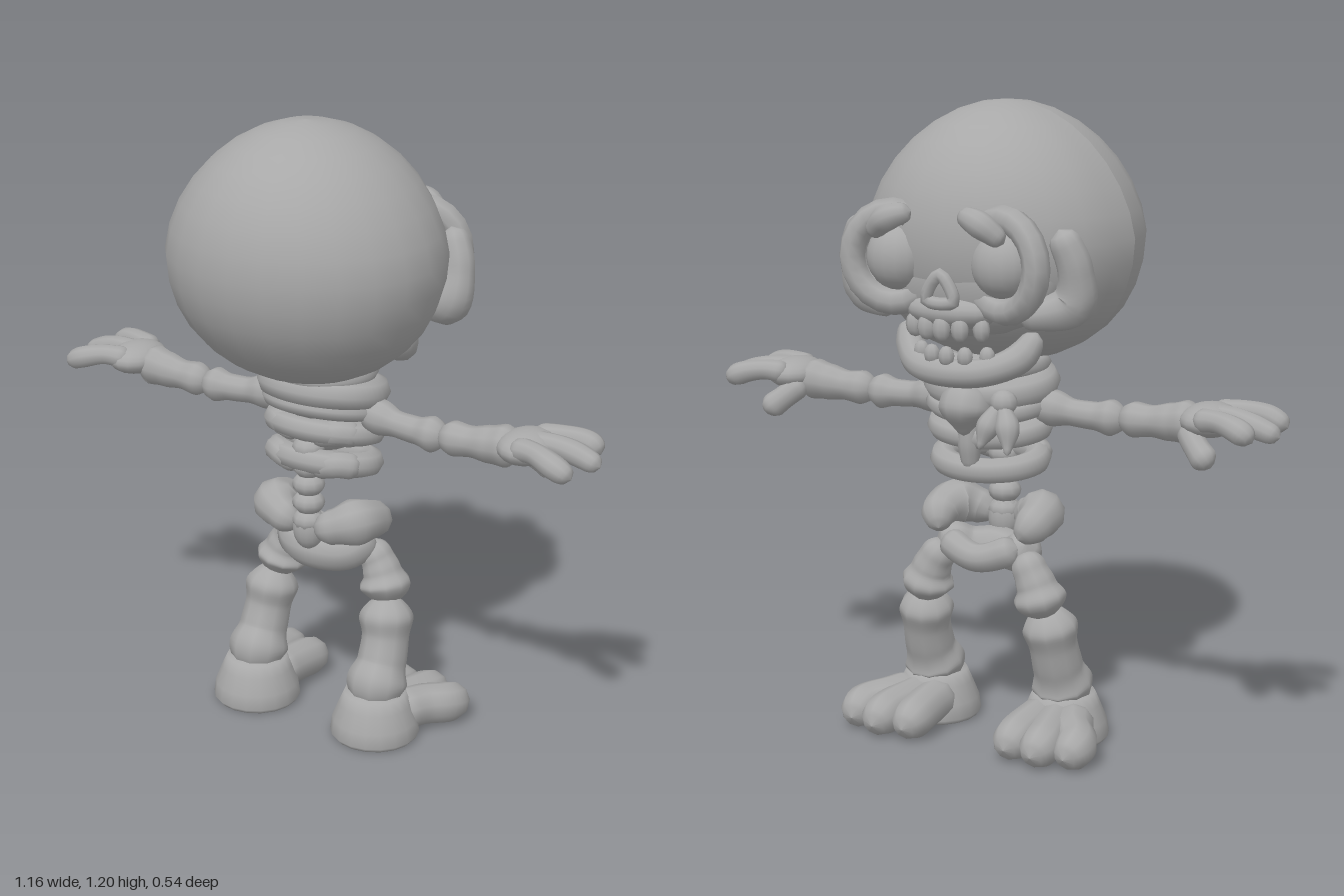
import * as THREE from 'three';
import { mergeVertices } from 'three/addons/utils/BufferGeometryUtils.js';

const bone = new THREE.MeshStandardMaterial({ color: 0xa8a8a8 });
bone.name = 'bone grey';

export function createModel() {
  const root = new THREE.Group();
  root.name = 'skeleton';

  const add = (name, geo) => {
    const m = new THREE.Mesh(geo, bone);
    m.name = name;
    root.add(m);
    return m;
  };
  const ball = (name, p, r, w = 16, h = 12) => {
    const m = add(name, new THREE.SphereGeometry(1, w, h));
    m.position.set(...p);
    m.scale.set(...r);
    return m;
  };
  // Swept bone: points are [x, y, z, radius]; rounded by tapering its ends
  const limb = (name, pts, { closed = false, sides = 10, flat = 1, floor = false } = {}) => {
    const all = pts.map(p => new THREE.Vector3(p[0], p[1], p[2]));
    const curve = new THREE.CatmullRomCurve3(all, closed);
    const seg = pts.length * 6, n = pts.length;
    const geo = new THREE.TubeGeometry(curve, seg, 1, sides, closed);
    const pos = geo.attributes.position, v = new THREE.Vector3();
    const len = curve.getLength();
    for (let i = 0; i <= seg; i++) {
      const u = i / seg, c = curve.getPointAt(u);
      const f = curve.getUtoTmapping(u) * (closed ? n : n - 1);
      const k = Math.min(Math.floor(f), closed ? n - 1 : n - 2), t = f - k;
      const s = t * t * (3 - 2 * t);
      let r = pts[k][3] * (1 - s) + pts[(k + 1) % n][3] * s;
      if (!closed) {
        const e = Math.min(1, Math.min(u, 1 - u) * len / r);
        r *= Math.sqrt(1 - (1 - e) * (1 - e));
      }
      for (let j = 0; j <= sides; j++) {
        const id = i * (sides + 1) + j;
        v.fromBufferAttribute(pos, id).sub(c).multiplyScalar(Math.max(r, 1e-4));
        v.y *= flat;
        v.add(c);
        if (floor) v.y = Math.max(v.y, 0.004);
        pos.setXYZ(id, v.x, v.y, v.z);
      }
    }
    geo.deleteAttribute('uv');
    geo.deleteAttribute('normal');
    const out = mergeVertices(geo, 1e-5);
    out.computeVertexNormals();
    return add(name, out);
  };
  const ring = (name, y, z, rx, rz, r, flat = 1, tilt = 0) => {
    const pts = [];
    for (let i = 0; i < 10; i++) {
      const a = -i / 10 * Math.PI * 2;
      pts.push([Math.cos(a) * rx, y + tilt * Math.sin(a), z + Math.sin(a) * rz, r]);
    }
    return limb(name, pts, { closed: true, flat, sides: 8 });
  };
  const both = fn => [1, -1].forEach(s => fn(s, s > 0 ? 'left' : 'right'));

  // Cranium, narrowing a little towards the crown
  const skull = new THREE.SphereGeometry(1, 24, 16);
  const sp = skull.attributes.position;
  for (let i = 0; i < sp.count; i++) {
    const y = sp.getY(i), k = 1 - 0.12 * Math.max(0, y);
    sp.setX(i, sp.getX(i) * k * (y < 0 ? 1 + 0.08 * y * y : 1));
  }
  skull.computeVertexNormals();
  const cranium = add('cranium', skull);
  cranium.position.set(0, 0.965, 0.752);
  cranium.scale.set(0.264, 0.242, 0.248);

  // Face
  ball('faceMass', [0, 0.9, 0.6], [0.19, 0.11, 0.085]);
  ball('upperJaw', [0, 0.845, 0.555], [0.095, 0.035, 0.055]);
  limb('noseRim', [[0, 0.915, 0.505, 0.012], [0.028, 0.868, 0.505, 0.012], [-0.028, 0.868, 0.505, 0.012]],
    { closed: true, sides: 8 });
  both((s, side) => {
    const rim = add(side + 'EyeRim', new THREE.TorusGeometry(0.078, 0.024, 8, 20));
    rim.position.set(s * 0.113, 0.935, 0.535);
    rim.rotation.y = s * 0.28;
    rim.scale.set(1, 1.05, 1.1);
    ball(side + 'Eye', [s * 0.108, 0.935, 0.54], [0.059, 0.06, 0.05]);
    limb(side + 'Brow', [[s * 0.05, 1.026, 0.492, 0.018], [s * 0.095, 1.012, 0.481, 0.024],
      [s * 0.135, 0.98, 0.495, 0.017]]);
    limb(side + 'Cheekbone', [[s * 0.2, 1.0, 0.575, 0.028], [s * 0.225, 0.93, 0.59, 0.032],
      [s * 0.215, 0.865, 0.6, 0.04], [s * 0.13, 0.838, 0.555, 0.025]]);
  });
  for (let i = -2; i <= 2; i++) {
    const tooth = ball('upperTooth', [i * 0.034, 0.817, 0.51 + i * i * 0.006], [0.018, 0.024, 0.014], 8, 6);
    tooth.rotation.y = i * 0.2;
  }

  // Hanging lower jaw
  limb('lowerJaw', [[0.135, 0.805, 0.62, 0.02], [0.115, 0.762, 0.597, 0.028], [0.07, 0.738, 0.553, 0.026],
    [0, 0.732, 0.537, 0.026], [-0.07, 0.738, 0.553, 0.026], [-0.115, 0.762, 0.597, 0.028],
    [-0.135, 0.805, 0.62, 0.02]]);
  for (let i = -2; i <= 2; i++)
    ball('lowerTooth', [i * 0.034, 0.764, 0.527 + i * i * 0.007], [0.016, 0.019, 0.013], 8, 6);

  // Neck and neckerchief
  limb('neck', [[0, 0.62, 0.715, 0.06], [0, 0.7, 0.715, 0.085], [0, 0.78, 0.72, 0.09]]);
  ring('upperScarfFold', 0.727, 0.7, 0.085, 0.075, 0.026, 0.8);
  ring('middleScarfFold', 0.69, 0.695, 0.102, 0.08, 0.031, 0.95, 0.012);
  ring('lowerScarfFold', 0.657, 0.69, 0.1, 0.08, 0.026, 0.8, 0.014);
  limb('scarfBib', [[0, 0.695, 0.615, 0.06], [0, 0.655, 0.595, 0.05], [0, 0.605, 0.588, 0.012]]);
  ball('scarfKnot', [-0.075, 0.672, 0.604], [0.026, 0.024, 0.024], 10, 8);
  limb('scarfTailOuter', [[-0.075, 0.67, 0.6, 0.012], [-0.095, 0.63, 0.582, 0.023], [-0.105, 0.585, 0.562, 0.006]]);
  limb('scarfTailInner', [[-0.07, 0.67, 0.6, 0.012], [-0.055, 0.63, 0.582, 0.022], [-0.045, 0.59, 0.565, 0.006]]);

  // Rib cage and spine
  ring('upperRib', 0.61, 0.69, 0.1, 0.073, 0.025, 0.95, 0.012);
  ring('lowerRib', 0.546, 0.69, 0.094, 0.069, 0.026, 0.95, 0.012);
  ball('chestCore', [0, 0.612, 0.695], [0.08, 0.05, 0.06]);
  limb('breastbone', [[0, 0.65, 0.61, 0.02], [0, 0.59, 0.61, 0.022], [0, 0.535, 0.615, 0.016]]);
  for (let i = 0; i < 6; i++)
    ball('vertebra', [0, 0.43 + i * 0.037, 0.746], [0.032, 0.024, 0.031], 10, 8);
  both((s, side) => {
    for (const y of [0.612, 0.548])
      limb(side + 'RibRoot', [[s * 0.018, y - 0.012, 0.757, 0.018], [s * 0.06, y + 0.008, 0.748, 0.025],
        [s * 0.098, y, 0.715, 0.026]]);
  });

  // Pelvis: bowl open at the front, with a broad wing on each side
  limb('pelvisBowl', [[0.092, 0.395, 0.66, 0.035], [0.055, 0.362, 0.7, 0.038], [0, 0.362, 0.72, 0.04],
    [-0.055, 0.362, 0.7, 0.038], [-0.092, 0.395, 0.66, 0.035]]);
  limb('pubicArch', [[0.08, 0.385, 0.655, 0.03], [0, 0.36, 0.638, 0.027], [-0.08, 0.385, 0.655, 0.03]]);
  ball('tailbone', [0, 0.415, 0.745], [0.032, 0.045, 0.03]);
  both((s, side) => {
    limb(side + 'HipWing', [[s * 0.02, 0.415, 0.748, 0.024], [s * 0.055, 0.428, 0.748, 0.034],
      [s * 0.09, 0.438, 0.725, 0.045], [s * 0.1, 0.43, 0.675, 0.037], [s * 0.085, 0.405, 0.64, 0.024]]);

    // Leg with bulging joints
    limb(side + 'Thigh', [[s * 0.082, 0.375, 0.665, 0.034], [s * 0.1, 0.345, 0.66, 0.034],
      [s * 0.113, 0.318, 0.66, 0.039], [s * 0.122, 0.288, 0.662, 0.054], [s * 0.128, 0.255, 0.668, 0.042]]);
    limb(side + 'Shin', [[s * 0.13, 0.277, 0.668, 0.042], [s * 0.134, 0.238, 0.676, 0.054],
      [s * 0.138, 0.195, 0.685, 0.046], [s * 0.14, 0.15, 0.7, 0.048], [s * 0.14, 0.11, 0.718, 0.06],
      [s * 0.14, 0.06, 0.725, 0.06]]);

    // Foot: flat heel and three splayed toes
    const profile = [[0, 0.003], [0.08, 0.003], [0.087, 0.012], [0.083, 0.04], [0.07, 0.072], [0.06, 0.095], [0, 0.11]];
    const heel = add(side + 'Heel', new THREE.LatheGeometry(profile.map(p => new THREE.Vector2(...p)), 18));
    heel.position.set(s * 0.14, 0, 0.724);
    for (const [root0, tip, z] of [[0.115, 0.11, 0.572], [0.145, 0.17, 0.562], [0.17, 0.228, 0.582]])
      limb(side + 'Toe', [[s * root0, 0.05, 0.71, 0.042], [s * (root0 + tip) / 2, 0.048, 0.645, 0.04],
        [s * tip, 0.042, z + 0.02, 0.04], [s * tip, 0.03, z - 0.035, 0.033]], { floor: true });

    // Arm
    limb(side + 'UpperArm', [[s * 0.09, 0.653, 0.695, 0.036], [s * 0.13, 0.65, 0.697, 0.034],
      [s * 0.17, 0.645, 0.7, 0.025], [s * 0.21, 0.643, 0.702, 0.026], [s * 0.245, 0.643, 0.703, 0.034],
      [s * 0.275, 0.644, 0.703, 0.029]]);
    limb(side + 'Forearm', [[s * 0.26, 0.645, 0.703, 0.03], [s * 0.29, 0.645, 0.703, 0.033],
      [s * 0.325, 0.646, 0.702, 0.029], [s * 0.365, 0.649, 0.701, 0.035], [s * 0.4, 0.653, 0.7, 0.04],
      [s * 0.43, 0.657, 0.7, 0.034]]);

    // Hand: palm, three drooping fingers and a thumb
    ball(side + 'Palm', [s * 0.44, 0.662, 0.7], [0.053, 0.031, 0.066]);
    for (const [z0, z1, x] of [[0.66, 0.628, 0.55], [0.7, 0.686, 0.578], [0.735, 0.766, 0.562]])
      limb(side + 'Finger', [[s * 0.43, 0.667, z0, 0.026], [s * 0.48, 0.672, (z0 + z1) / 2, 0.022],
        [s * 0.525, 0.663, z1, 0.024], [s * x, 0.646, z1, 0.02]], { flat: 0.9 });
    limb(side + 'Thumb', [[s * 0.405, 0.65, 0.675, 0.024], [s * 0.435, 0.622, 0.65, 0.023],
      [s * 0.458, 0.602, 0.638, 0.025], [s * 0.47, 0.59, 0.636, 0.018]]);
  });

  return root;
}
